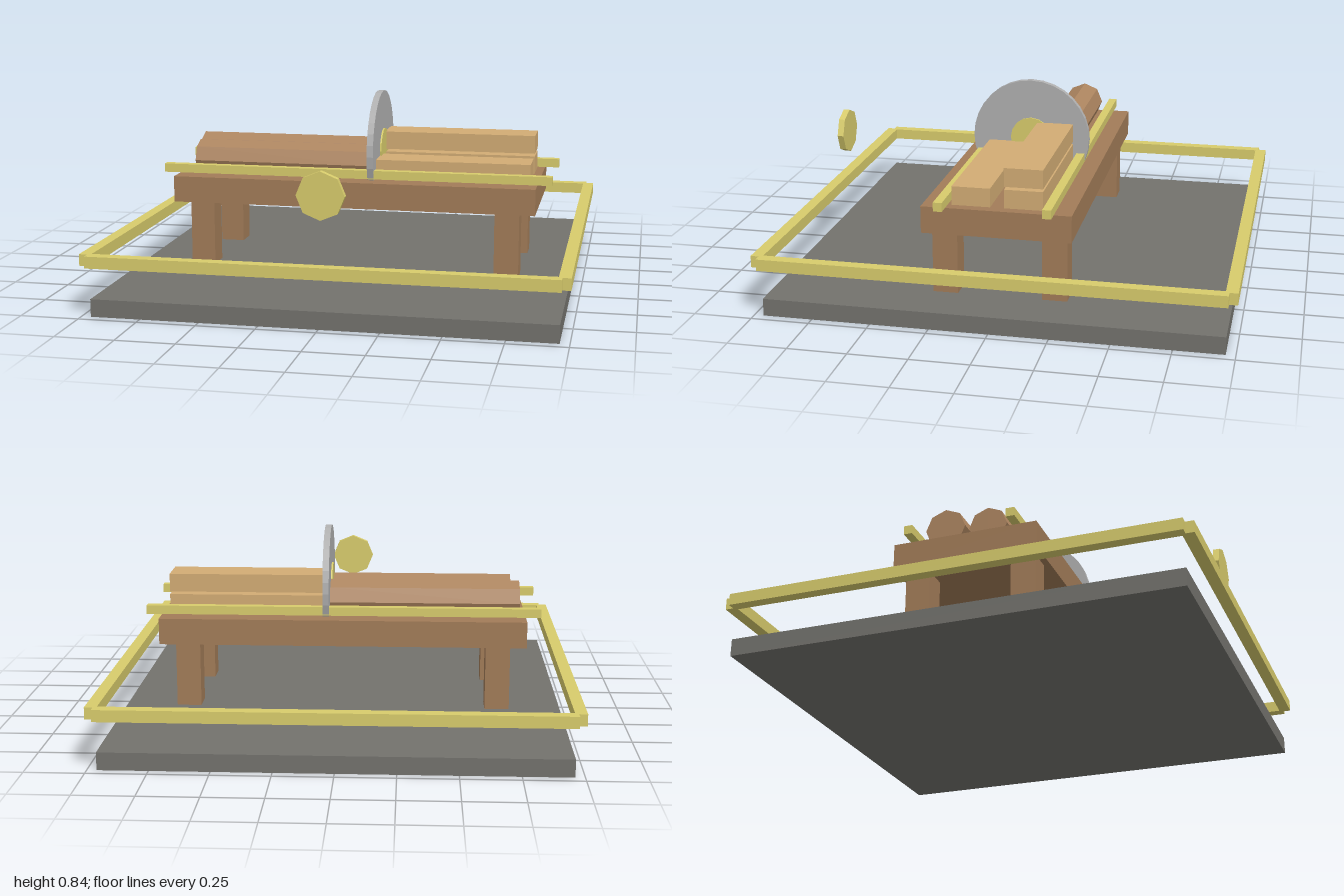
import * as THREE from 'three';

export function createModel() {
  const model = new THREE.Group();
  const mat = (color) => new THREE.MeshStandardMaterial({ color, flatShading: true });
  const stone = mat(0x73726d), brass = mat(0xd8cc6c), wood = mat(0xa27c58);
  const bark = mat(0xad8560), timber = mat(0xd2ac74), steel = mat(0xb0b0b0);

  const add = (name, geometry, material, x, y, z) => {
    const mesh = new THREE.Mesh(geometry, material);
    mesh.name = name;
    mesh.position.set(x, y, z);
    model.add(mesh);
    return mesh;
  };
  const box = (name, material, w, h, d, x, y, z) =>
    add(name, new THREE.BoxGeometry(w, h, d), material, x, y, z);
  // Cylinder lying along x
  const rodX = (name, material, radius, length, sides, x, y, z) =>
    add(name, new THREE.CylinderGeometry(radius, radius, length, sides).rotateZ(Math.PI / 2), material, x, y, z);

  // Base slab
  box('base', stone, 1.92, 0.075, 1.92, 0, 0.0375, 0);

  // Surrounding frame, with notched corners
  for (const s of [-1, 1]) {
    box('frameBar', brass, 1.93, 0.05, 0.05, 0, 0.24, s * 0.975);
    box('frameBar', brass, 0.05, 0.05, 1.93, s * 0.975, 0.24, 0);
  }

  // Bench with legs and guide rails
  box('benchTop', wood, 1.61, 0.115, 0.63, 0, 0.4175, 0);
  for (const sz of [-1, 1]) {
    for (const sx of [-1, 1]) {
      box('benchLeg', wood, 0.107, 0.29, 0.107, sx * 0.682, 0.217, sz * 0.233);
    }
    box('guideRail', brass, 1.74, 0.038, 0.037, 0, 0.499, sz * 0.225);
  }

  // Saw blade and hub
  rodX('sawBlade', steel, 0.262, 0.028, 32, 0.075, 0.58, 0);
  rodX('bladeHub', brass, 0.092, 0.042, 16, 0.075, 0.58, 0);

  // Logs waiting to be cut
  rodX('log', bark, 0.088, 0.84, 8, -0.36, 0.527, -0.095);
  rodX('log', bark, 0.084, 0.82, 8, -0.34, 0.524, 0.083);

  // Cut planks
  for (const [y, z] of [[0.519, 0.11], [0.519, -0.11], [0.611, -0.11]]) {
    box('plank', timber, 0.69, 0.08, 0.162, 0.427, y, z);
  }

  // Octagonal disc floating in front
  const disc = new THREE.CylinderGeometry(0.1, 0.1, 0.028, 8).rotateX(Math.PI / 2);
  add('frontDisc', disc, brass, 0, 0.535, 0.895);

  return model;
}
